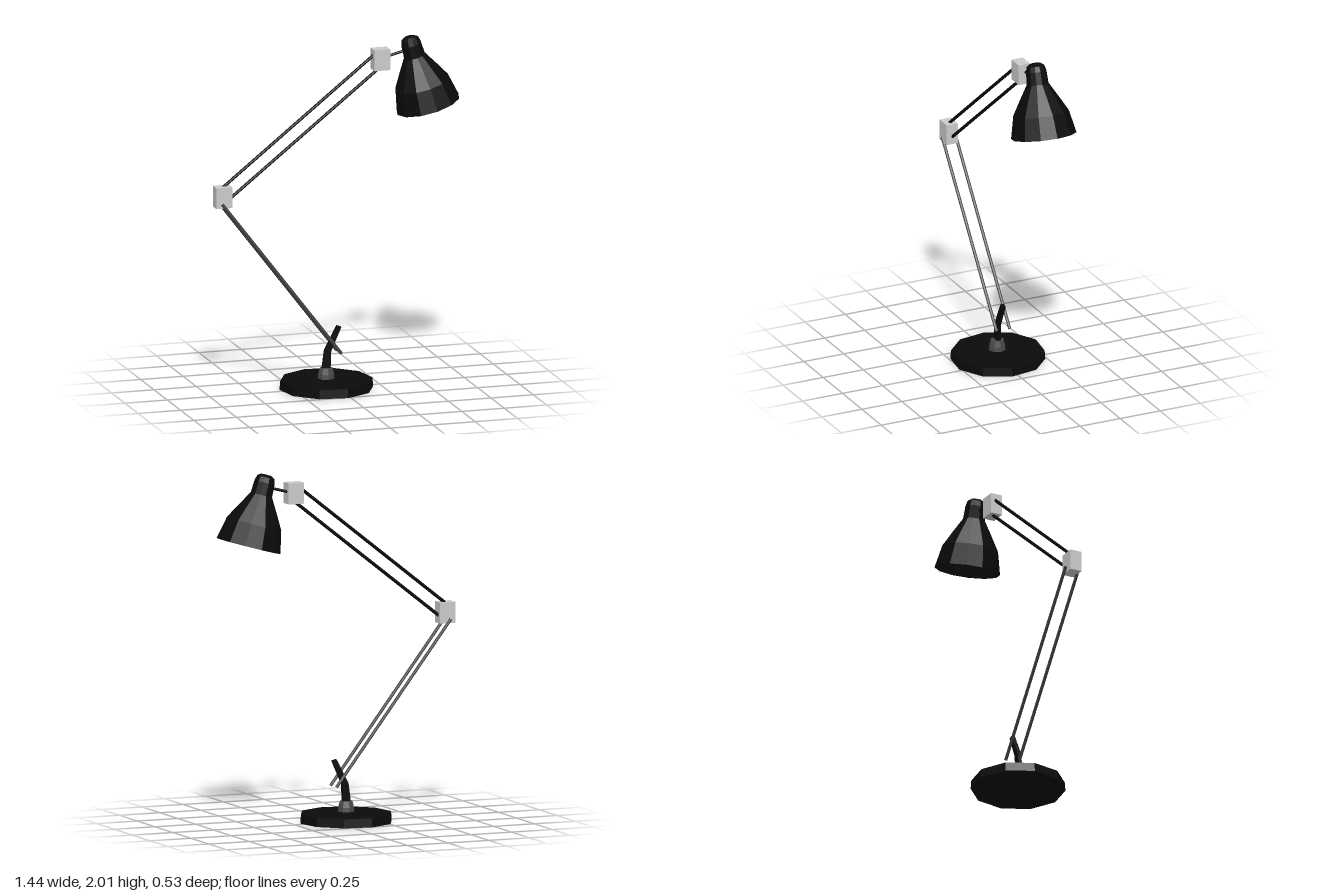
import * as THREE from 'three';

const mat = (color, side = THREE.FrontSide) => {
  const m = new THREE.MeshStandardMaterial({ color, flatShading: true });
  m.side = side;
  return m;
};
const black = mat(0x0a0a0a);
const blackOpen = mat(0x0a0a0a, THREE.DoubleSide);
const steel = mat(0x484848);
const grey = mat(0xcccccc);

export function createModel() {
  const lamp = new THREE.Group();
  lamp.name = 'deskLamp';

  const add = (name, geometry, material, x = 0, y = 0, z = 0) => {
    const mesh = new THREE.Mesh(geometry, material);
    mesh.name = name;
    mesh.position.set(x, y, z);
    lamp.add(mesh);
    return mesh;
  };
  const lathe = (pts, sides, start = 0) =>
    new THREE.LatheGeometry(pts.map(p => new THREE.Vector2(...p)), sides, start);

  // Straight thin bar between two points
  const rod = (name, a, b, radius, material) => {
    const from = new THREE.Vector3(...a), to = new THREE.Vector3(...b);
    const dir = to.clone().sub(from);
    const mesh = add(name, new THREE.CylinderGeometry(radius, radius, dir.length(), 8), material);
    mesh.position.copy(from).add(to).multiplyScalar(0.5);
    mesh.quaternion.setFromUnitVectors(new THREE.Vector3(0, 1, 0), dir.normalize());
  };

  // Ten-sided weighted base with a slightly raised middle
  add('base', lathe([[0, 0], [0.267, 0], [0.263, 0.051], [0.18, 0.057], [0, 0.06]],
    10, THREE.MathUtils.degToRad(10)), black, -0.063, 0, 0);

  // Hub and bent flat bracket
  add('hub', lathe([[0.05, 0.05], [0.047, 0.085], [0.038, 0.118], [0, 0.12]], 8), steel, -0.065, 0, 0.003);
  const outline = [[-0.09, 0.11], [-0.042, 0.11], [-0.038, 0.215], [0.022, 0.35], [-0.002, 0.358], [-0.075, 0.22]];
  const bracket = new THREE.ExtrudeGeometry(
    new THREE.Shape(outline.map(p => new THREE.Vector2(...p))), { depth: 0.022, bevelEnabled: false });
  add('bracket', bracket, black, 0, 0, -0.008);

  // Lower arm: two bars side by side
  for (const z of [-0.038, 0.044]) {
    rod('lowerArmBar', [-0.69, 1.12, z], [0.012, 0.205, z], 0.0095, steel);
  }

  // Elbow and head joint blocks
  for (const [name, x, y] of [['elbowJoint', -0.677, 1.155], ['headJoint', 0.253, 1.885]]) {
    add(name, new THREE.BoxGeometry(0.094, 0.12, 0.07), grey, x, y, 0.01);
  }

  // Upper arm: two bars one above the other
  rod('upperArmBar', [-0.685, 1.2, 0.006], [0.24, 1.93, 0.006], 0.0095, black);
  rod('upperArmBar', [-0.665, 1.115, 0.006], [0.25, 1.835, 0.006], 0.0095, black);

  // Short stem from the head joint to the shade
  rod('shadeStem', [0.27, 1.888, 0.002], [0.43, 1.93, 0.002], 0.008, black);

  // Twelve-sided open shade, tilted
  const shade = add('shade', lathe([[0.186, 0], [0.158, 0.13], [0.11, 0.215], [0.062, 0.297],
    [0.058, 0.37], [0.05, 0.4], [0.03, 0.413], [0, 0.414]], 12), blackOpen, 0.535, 1.6, 0.002);
  shade.rotation.z = THREE.MathUtils.degToRad(15.5);

  return lamp;
}
